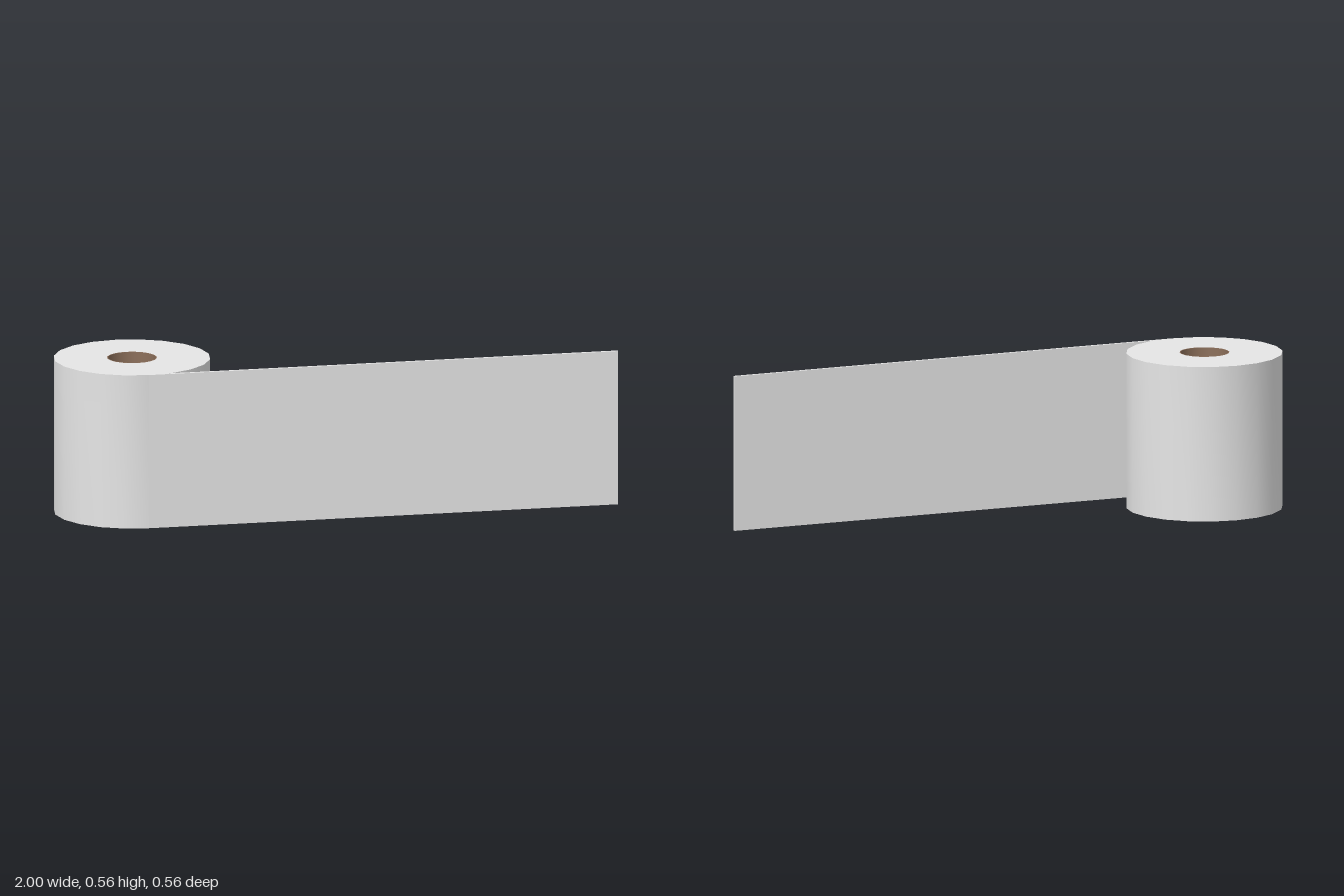
import * as THREE from 'three';
import { toCreasedNormals } from 'three/addons/utils/BufferGeometryUtils.js';

const HEIGHT = 0.563;
const RADIUS = 0.281;
const CORE_OUTER = 0.0895;
const CORE_INNER = 0.086;
const STRIP = 0.011;
const SIDES = 20;
const ROLL_X = -1 + RADIUS;

// Upright ring with a rectangular section, smooth round the sides and sharp at the rims
function ring(inner, outer) {
  const profile = [
    [inner, 0], [outer, 0], [outer, HEIGHT], [inner, HEIGHT], [inner, 0],
  ].map(([r, y]) => new THREE.Vector2(r, y));
  return toCreasedNormals(new THREE.LatheGeometry(profile, SIDES), Math.PI / 5);
}

export function createModel() {
  const paper = new THREE.MeshStandardMaterial({ color: 0xe6e6e6 });
  paper.name = 'white paper';
  const cardboard = new THREE.MeshStandardMaterial({ color: 0x8c6f5a });
  cardboard.name = 'brown cardboard';

  const model = new THREE.Group();
  model.name = 'paperRoll';
  function add(name, geometry, material, x, y, z) {
    const mesh = new THREE.Mesh(geometry, material);
    mesh.name = name;
    mesh.position.set(x, y, z);
    model.add(mesh);
  }

  // Wound roll and the tube it is wound on
  add('roll', ring(CORE_OUTER, RADIUS), paper, ROLL_X, 0, 0);
  add('core', ring(CORE_INNER, CORE_OUTER), cardboard, ROLL_X, 0, 0);

  // Loose sheet leaving the front of the roll at a tangent
  const length = 1 - ROLL_X;
  add('looseSheet', new THREE.BoxGeometry(length, HEIGHT, STRIP), paper,
    ROLL_X + length / 2, HEIGHT / 2, RADIUS - STRIP / 2);

  return model;
}
